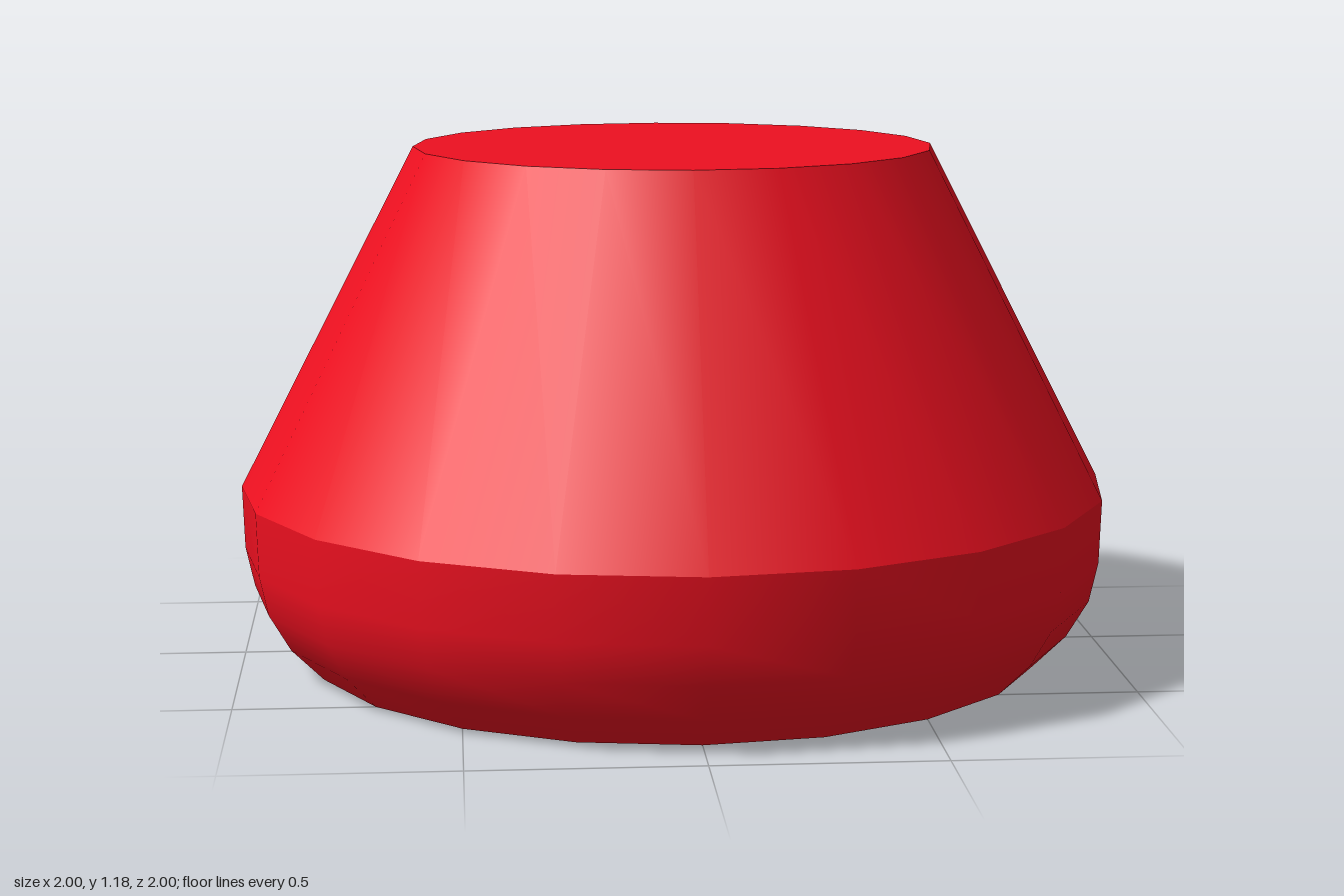
import * as THREE from 'three';

const SIDES = 20; // divisible by 4 so discs and walls share corners

export function createModel() {
  const group = new THREE.Group();
  group.name = 'taperedKnob';
  const material = new THREE.MeshStandardMaterial({ color: 0xee1020 });

  const add = (name, geometry) => {
    const mesh = new THREE.Mesh(geometry, material);
    mesh.name = name;
    group.add(mesh);
    return mesh;
  };
  // Profiles run from bottom to top as [radius, height]
  const lathe = (profile) =>
    new THREE.LatheGeometry(profile.map(([r, y]) => new THREE.Vector2(r, y)), SIDES);
  const disc = (r, facing) => new THREE.CircleGeometry(r, SIDES).rotateX(-facing * Math.PI / 2);

  // Rounded base band
  add('baseBand', lathe([[0.85, 0], [0.925, 0.075], [0.975, 0.16], [0.995, 0.25], [1, 0.395]]));

  // Sloping body, a separate surface so the rim stays sharp
  add('slopingBody', lathe([[1, 0.395], [0.595, 1.18]]));

  // Flat ends
  add('topFace', disc(0.595, 1)).position.y = 1.18;
  add('bottomFace', disc(0.85, -1));

  return group;
}
